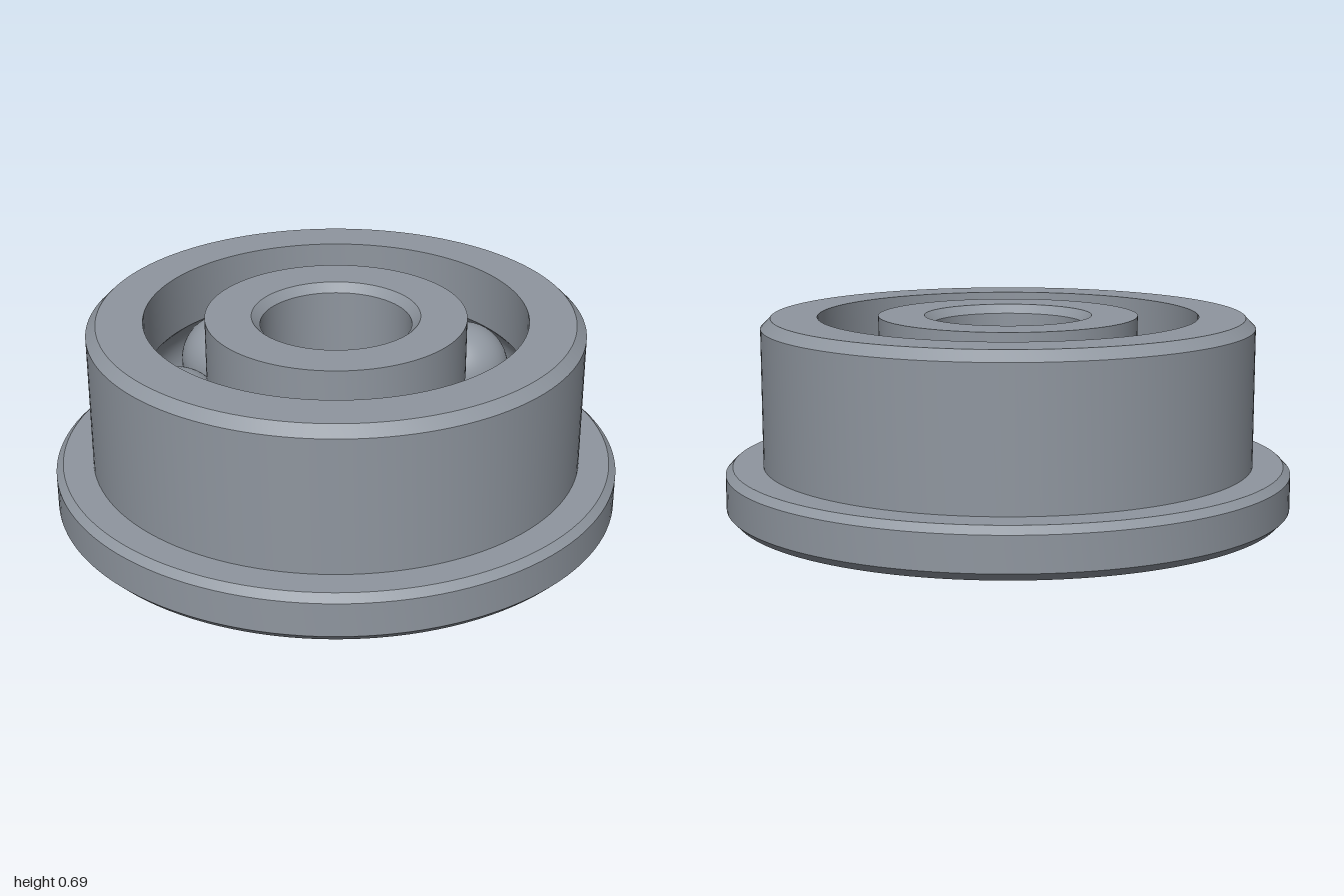
import * as THREE from 'three';
import { toCreasedNormals } from 'three/addons/utils/BufferGeometryUtils.js';

const HEIGHT = 0.695, MID = HEIGHT / 2;
const BALL_COUNT = 7, BALL_RADIUS = 0.168, PITCH_RADIUS = 0.565;
const GROOVE_RADIUS = 0.17;

// Arc of the ball groove where it cuts a race wall of the given radius.
// side: +1 for the outer race (cut from top to bottom), -1 for the inner race (bottom to top)
function groove(wallRadius, side) {
  const half = Math.acos(Math.abs(wallRadius - PITCH_RADIUS) / GROOVE_RADIUS);
  const points = [];
  for (let i = 0; i <= 16; i++) {
    const a = half * (1 - i / 8);
    points.push([
      PITCH_RADIUS + side * GROOVE_RADIUS * Math.cos(a),
      MID + side * GROOVE_RADIUS * Math.sin(a),
    ]);
  }
  return points;
}

// Closed ring turned from a profile that runs up the outside and down the inside
function turnedRing(name, profile, material) {
  const points = [...profile, profile[0]].map(([r, y]) => new THREE.Vector2(r, y));
  const geometry = toCreasedNormals(new THREE.LatheGeometry(points, 128), 0.5);
  const mesh = new THREE.Mesh(geometry, material);
  mesh.name = name;
  return mesh;
}

export function createModel() {
  const group = new THREE.Group();
  group.name = 'flangedBallBearing';
  const steel = new THREE.MeshStandardMaterial({ color: 0x8f969f });
  steel.name = 'steel grey';

  // Outer ring with chamfered flange at the bottom
  group.add(turnedRing('outerRing', [
    [0.67, 0], [0.973, 0], [1, 0.028], [1, 0.15], [0.975, 0.175], [0.868, 0.175],
    [0.868, 0.66], [0.833, HEIGHT], [0.67, HEIGHT],
    ...groove(0.67, 1),
  ], steel));

  // Inner ring with chamfered bore
  group.add(turnedRing('innerRing', [
    [0.295, 0], [0.457, 0],
    ...groove(0.457, -1),
    [0.457, HEIGHT], [0.295, HEIGHT], [0.265, HEIGHT - 0.03], [0.265, 0.03],
  ], steel));

  // Balls spaced evenly in the grooves
  const ballGeometry = new THREE.SphereGeometry(BALL_RADIUS, 48, 32);
  const balls = new THREE.Group();
  balls.name = 'balls';
  for (let i = 0; i < BALL_COUNT; i++) {
    const a = (i / BALL_COUNT) * Math.PI * 2 - 0.018;
    const ball = new THREE.Mesh(ballGeometry, steel);
    ball.name = `ball${i + 1}`;
    ball.position.set(PITCH_RADIUS * Math.sin(a), MID, -PITCH_RADIUS * Math.cos(a));
    balls.add(ball);
  }
  group.add(balls);
  return group;
}
